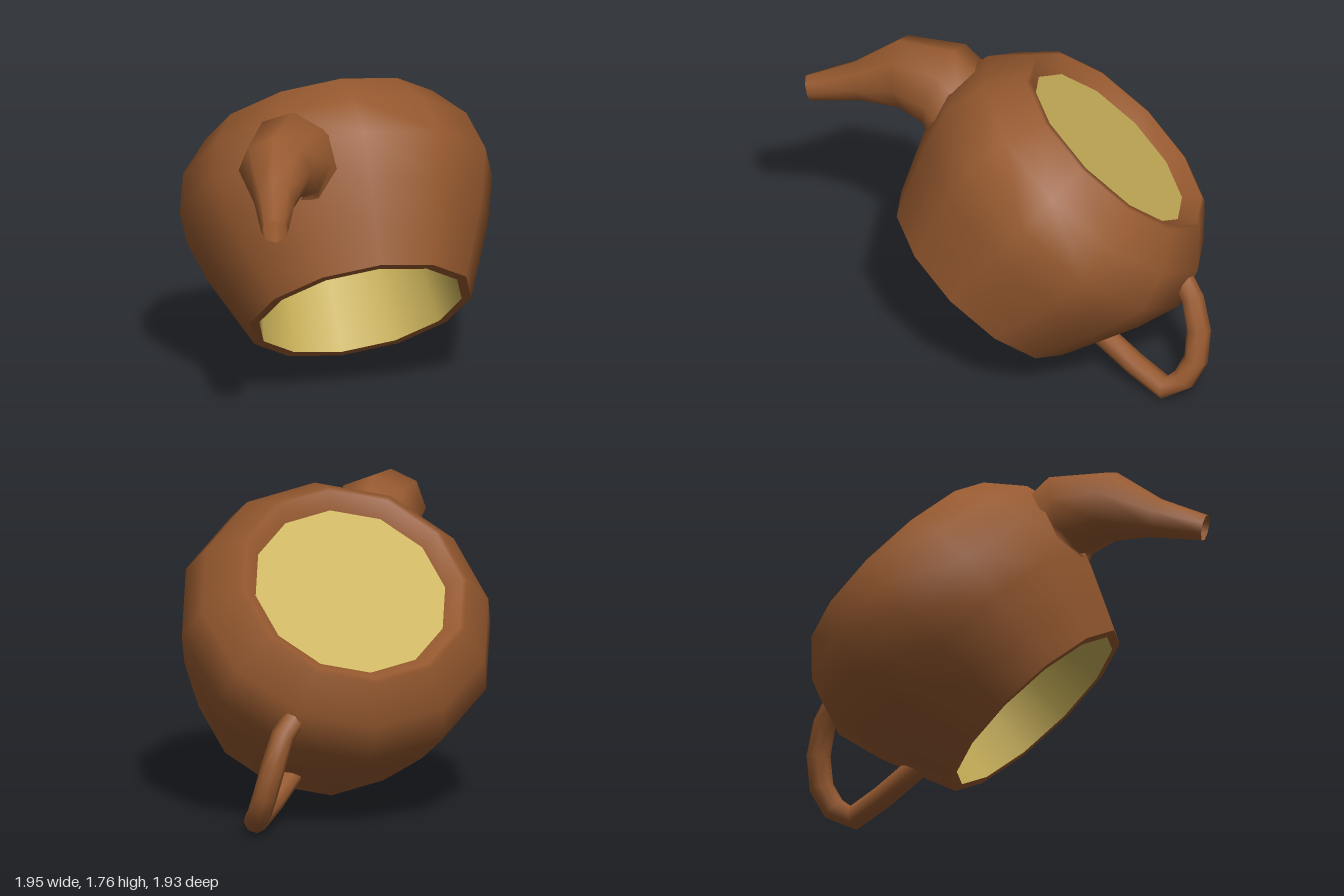
import * as THREE from 'three';

const brown = new THREE.MeshStandardMaterial({ color: 0x96592f, side: THREE.DoubleSide });
const yellow = new THREE.MeshStandardMaterial({ color: 0xc8b058, side: THREE.DoubleSide });
const SIDES = 12;

// Turned part from [radius, height] pairs
function turned(name, profile, material) {
  const points = profile.map(([r, y]) => new THREE.Vector2(r, y));
  const mesh = new THREE.Mesh(new THREE.LatheGeometry(points, SIDES, Math.PI / 12), material);
  mesh.name = name;
  return mesh;
}

// Smooth open pipe through rings given as [x, y, z, radius]
function pipe(name, rings, sides, material) {
  const centres = rings.map(([x, y, z]) => new THREE.Vector3(x, y, z));
  const last = rings.length - 1;
  const position = [], index = [];
  const side = new THREE.Vector3();
  rings.forEach(([, , , radius], i) => {
    const tangent = centres[Math.min(i + 1, last)].clone().sub(centres[Math.max(i - 1, 0)]).normalize();
    // Carry the side direction along so that the rings do not twist
    if (i === 0) side.set(0, 1, 0).cross(tangent);
    side.addScaledVector(tangent, -side.dot(tangent)).normalize();
    const up = tangent.clone().cross(side);
    for (let j = 0; j < sides; j++) {
      const a = (j / sides) * Math.PI * 2;
      const p = centres[i].clone()
        .addScaledVector(side, radius * Math.cos(a))
        .addScaledVector(up, radius * Math.sin(a));
      position.push(p.x, p.y, p.z);
      if (i < last) {
        const k = (j + 1) % sides;
        const a0 = i * sides + j, a1 = i * sides + k;
        index.push(a0, a1, a1 + sides, a0, a1 + sides, a0 + sides);
      }
    }
  });
  const geometry = new THREE.BufferGeometry();
  geometry.setAttribute('position', new THREE.Float32BufferAttribute(position, 3));
  geometry.setIndex(index);
  geometry.computeVertexNormals();
  const mesh = new THREE.Mesh(geometry, material);
  mesh.name = name;
  return mesh;
}

export function createModel() {
  const model = new THREE.Group();
  model.name = 'tippedTeapot';

  // Pot lying tipped over: mouth at local y = 0, foot at the far end
  const pot = new THREE.Group();
  pot.name = 'pot';
  pot.position.set(0, 0.49, 0.26);
  pot.quaternion.setFromUnitVectors(
    new THREE.Vector3(0, 1, 0), new THREE.Vector3(0.144, 0.74, -0.65).normalize());
  pot.add(
    turned('innerFloor', [[0, 0.66], [0.47, 0.66]], yellow),
    turned('innerWall', [[0.47, 0.66], [0.58, 0]], yellow),
    turned('mouthRim', [[0.58, 0], [0.634, 0]], brown),
    turned('body', [[0.634, 0], [0.72, 0.2], [0.82, 0.44], [0.895, 0.7],
      [0.83, 0.93], [0.665, 1.12], [0.635, 1.13], [0.55, 1.06]], brown),
    turned('footDisc', [[0.55, 1.06], [0, 1.06]], yellow));
  model.add(pot);

  // Spout bending away from the body to an open tip
  model.add(pipe('spout', [
    [-0.40, 1.40, 0.24, 0.25], [-0.47, 1.48, 0.30, 0.25], [-0.66, 1.48, 0.47, 0.205],
    [-0.785, 1.39, 0.69, 0.115], [-0.92, 1.31, 0.93, 0.075],
  ], 8, brown));

  // Looped handle with both ends set into the body
  model.add(pipe('handle', [
    [0.66, 0.68, -0.67, 0.065], [0.76, 0.59, -0.70, 0.065], [0.83, 0.42, -0.71, 0.068],
    [0.865, 0.25, -0.68, 0.068], [0.86, 0.13, -0.61, 0.068], [0.82, 0.07, -0.51, 0.068],
    [0.64, 0.14, -0.40, 0.065], [0.40, 0.27, -0.25, 0.065],
  ], 8, brown));

  return model;
}
